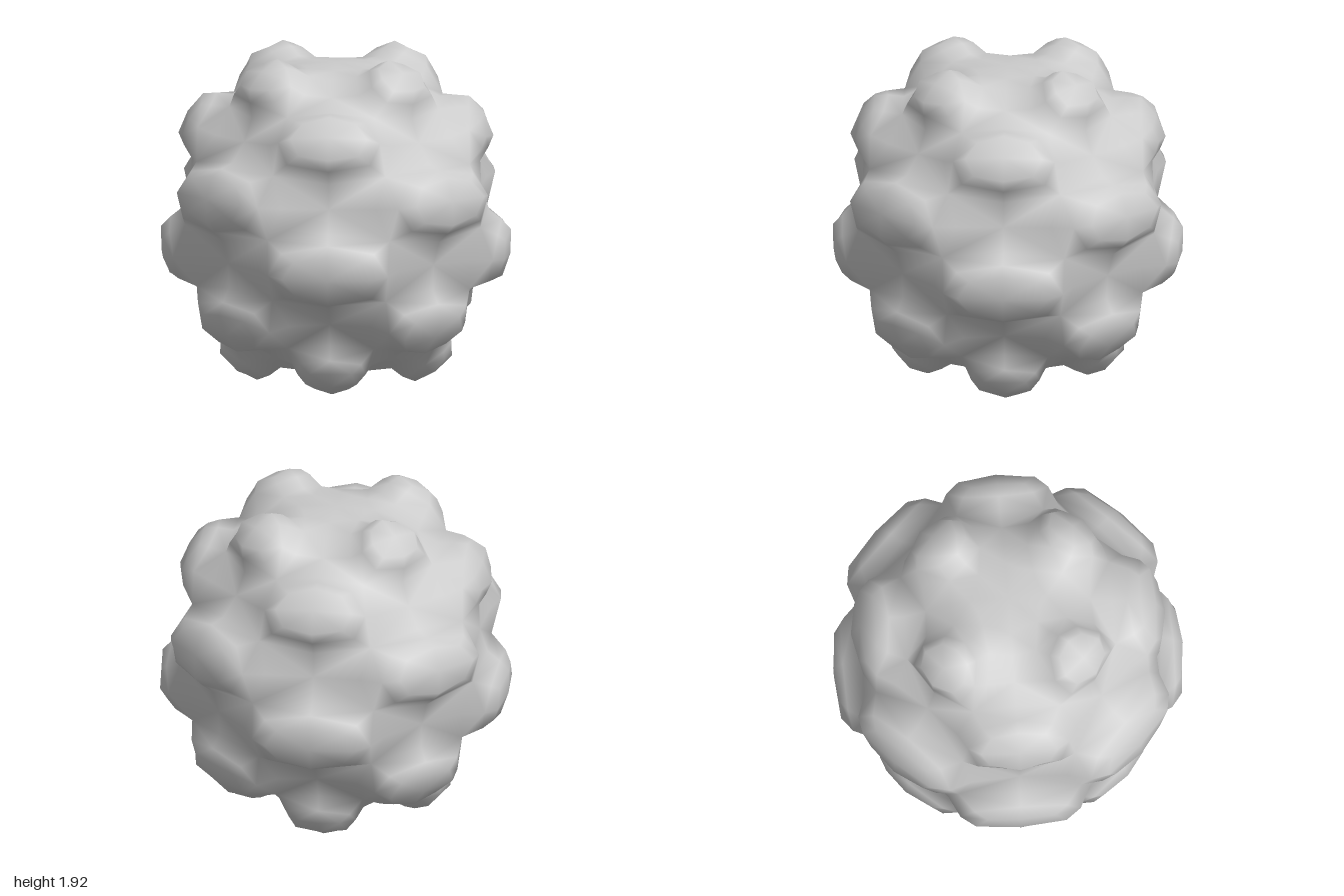
import * as THREE from 'three';

const COLS = 8, ROWS = 8;   // coarse globe grid
const RADIUS = 0.935;       // coarse globe radius
const BUMP = 0.169;         // how far the raised patches stand out
const CENTRE_Y = 0.957;

const average = (points) =>
  points.reduce((sum, p) => sum.add(p), new THREE.Vector3()).divideScalar(points.length);

// Coarse globe whose four-sided patches are raised in a checkerboard
function buildCage() {
  const verts = [], faces = [];
  for (let i = 1; i < ROWS; i++) {
    const lat = Math.PI * (i / ROWS - 0.5);
    for (let j = 0; j < COLS; j++) {
      const az = (j / COLS) * Math.PI * 2;
      verts.push(new THREE.Vector3(
        Math.cos(lat) * Math.sin(az), Math.sin(lat), Math.cos(lat) * Math.cos(az)
      ).multiplyScalar(RADIUS));
    }
  }
  const id = (i, j) => (i - 1) * COLS + (j % COLS);

  // slightly flattened poles
  const bottom = verts.push(new THREE.Vector3(0, -0.96 * RADIUS, 0)) - 1;
  const top = verts.push(new THREE.Vector3(0, 0.96 * RADIUS, 0)) - 1;

  for (let j = 0; j < COLS; j++) {
    faces.push([bottom, id(1, j + 1), id(1, j)], [id(ROWS - 1, j), id(ROWS - 1, j + 1), top]);
    for (let i = 1; i < ROWS - 1; i++) {
      const quad = [id(i, j), id(i, j + 1), id(i + 1, j + 1), id(i + 1, j)];
      if ((i + j) % 2 === 0) {
        faces.push(quad);
        continue;
      }
      // raised patch: lift along its normal and wall in the sides
      const [a, b, c, d] = quad.map((k) => verts[k]);
      const lift = c.clone().sub(a).cross(d.clone().sub(b)).setLength(BUMP);
      const lid = quad.map((k) => verts.push(verts[k].clone().add(lift)) - 1);
      faces.push(lid);
      quad.forEach((k, n) => {
        const m = (n + 1) % 4;
        faces.push([k, quad[m], lid[m], lid[n]]);
      });
    }
  }
  return { verts, faces };
}

// One Catmull-Clark step: rounds the cage off into soft bumps
function roundOff({ verts, faces }) {
  const facePts = faces.map((f) => average(f.map((k) => verts[k])));
  const edges = new Map();
  const around = verts.map(() => ({ faces: [], mids: [] }));
  const key = (a, b) => (a < b ? `${a}_${b}` : `${b}_${a}`);

  faces.forEach((f, fi) => f.forEach((a, n) => {
    const b = f[(n + 1) % f.length];
    around[a].faces.push(facePts[fi]);
    if (!edges.has(key(a, b))) {
      const mid = average([verts[a], verts[b]]);
      around[a].mids.push(mid);
      around[b].mids.push(mid);
      edges.set(key(a, b), { ends: [verts[a], verts[b]], sides: [] });
    }
    edges.get(key(a, b)).sides.push(facePts[fi]);
  }));

  const points = verts.map((v, k) => {
    const n = around[k].faces.length;
    return average(around[k].faces)
      .addScaledVector(average(around[k].mids), 2)
      .addScaledVector(v, n - 3)
      .divideScalar(n);
  });
  edges.forEach((e) => {
    e.index = points.push(average([...e.ends, ...e.sides])) - 1;
  });

  const index = [];
  faces.forEach((f, fi) => {
    const centre = points.push(facePts[fi]) - 1;
    f.forEach((a, n) => {
      const next = edges.get(key(a, f[(n + 1) % f.length])).index;
      const prev = edges.get(key(a, f[(n + f.length - 1) % f.length])).index;
      index.push(a, next, centre, a, centre, prev);
    });
  });

  const geo = new THREE.BufferGeometry().setFromPoints(points);
  geo.setIndex(index);
  geo.computeVertexNormals();
  return geo;
}

export function createModel() {
  const group = new THREE.Group();
  const ball = new THREE.Mesh(
    roundOff(buildCage()),
    new THREE.MeshStandardMaterial({ color: 0xcccccc })
  );
  ball.name = 'bumpyBall';
  ball.position.y = CENTRE_Y;
  group.add(ball);
  return group;
}
